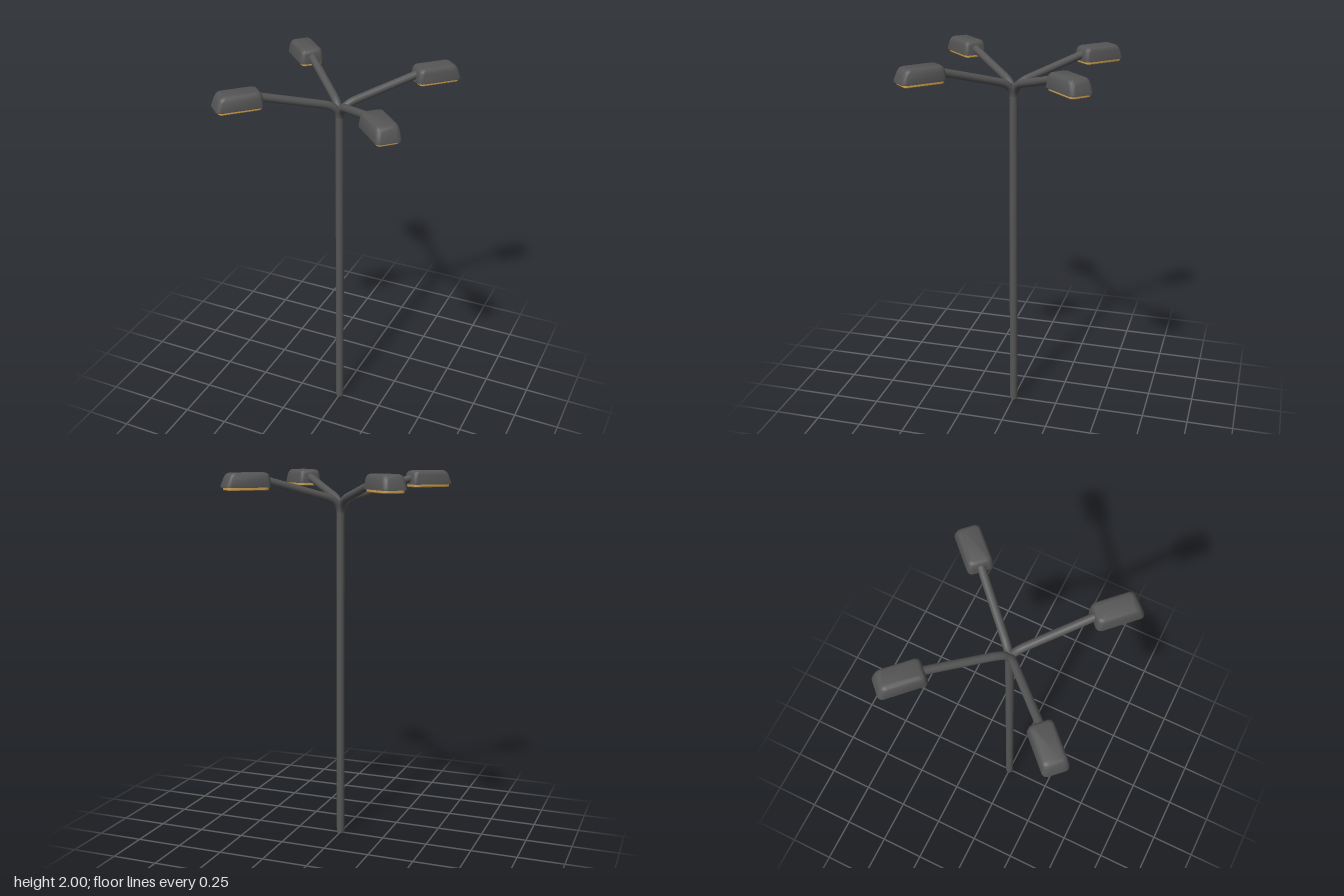
import * as THREE from 'three';
import { toCreasedNormals } from 'three/addons/utils/BufferGeometryUtils.js';

// Closed solid through rounded rectangles, each [y, xMin, xMax, halfWidth, cornerRadius], bottom to top
function loftRoundedRects(sections, steps = 5) {
  const pos = [], index = [], n = 4 * (steps + 1);
  for (const [y, x0, x1, w, r] of sections) {
    for (let q = 0; q < 4; q++) {
      const cx = q === 0 || q === 3 ? x1 - r : x0 + r;
      const cz = q < 2 ? -(w - r) : w - r;
      for (let s = 0; s <= steps; s++) {
        const a = (q + s / steps) * Math.PI / 2;
        pos.push(cx + r * Math.cos(a), y, cz - r * Math.sin(a));
      }
    }
  }
  for (let j = 0; j < sections.length - 1; j++) {
    for (let i = 0; i < n; i++) {
      const a = j * n + i, b = j * n + (i + 1) % n;
      index.push(a, b, b + n, a, b + n, a + n);
    }
  }
  const top = (sections.length - 1) * n;
  for (let i = 1; i < n - 1; i++) {
    index.push(0, i + 1, i);
    index.push(top, top + i, top + i + 1);
  }
  const g = new THREE.BufferGeometry();
  g.setAttribute('position', new THREE.Float32BufferAttribute(pos, 3));
  g.setIndex(index);
  return toCreasedNormals(g, 0.7);
}

export function createModel() {
  const metal = new THREE.MeshStandardMaterial({ color: 0x555555 });
  metal.name = 'dark grey metal';
  const glow = new THREE.MeshStandardMaterial({ color: 0xd0a050 });
  glow.name = 'amber lens';

  const model = new THREE.Group();
  model.name = 'streetLamp';
  const add = (parent, name, geometry, material) => {
    const mesh = new THREE.Mesh(geometry, material);
    mesh.name = name;
    parent.add(mesh);
  };

  // Straight pole
  const pole = new THREE.CylinderGeometry(0.022, 0.022, 1.79, 16);
  pole.translate(0, 0.895, 0);
  add(model, 'pole', pole, metal);

  // Arm: bends out of the pole, then rises straight into the lamp head
  const v = (x, y) => new THREE.Vector3(x, y, 0);
  const path = new THREE.CurvePath();
  path.add(new THREE.QuadraticBezierCurve3(v(0, 1.78), v(0.005, 1.845), v(0.08, 1.868)));
  path.add(new THREE.LineCurve3(v(0.08, 1.868), v(0.43, 1.963)));
  const armGeometry = new THREE.TubeGeometry(path, 40, 0.021, 16);

  // Lamp housing: sloped outer end, rounded top edge
  const headGeometry = loftRoundedRects([
    [1.926, 0.403, 0.642, 0.065, 0.025],
    [1.936, 0.403, 0.641, 0.065, 0.025],
    [1.975, 0.407, 0.626, 0.060, 0.025],
    [1.988, 0.411, 0.619, 0.056, 0.024],
    [1.996, 0.418, 0.610, 0.050, 0.021],
    [2.000, 0.428, 0.599, 0.041, 0.016],
  ]);
  // Lens under the housing
  const lensGeometry = loftRoundedRects([
    [1.911, 0.417, 0.626, 0.052, 0.016],
    [1.915, 0.413, 0.630, 0.056, 0.020],
    [1.927, 0.413, 0.630, 0.056, 0.020],
  ]);

  // Four arms on the diagonals
  for (let k = 0; k < 4; k++) {
    const lamp = new THREE.Group();
    lamp.name = 'lampArm' + (k + 1);
    lamp.rotation.y = Math.PI / 4 + k * Math.PI / 2;
    add(lamp, 'arm', armGeometry, metal);
    add(lamp, 'lampHead', headGeometry, metal);
    add(lamp, 'lens', lensGeometry, glow);
    model.add(lamp);
  }
  return model;
}
